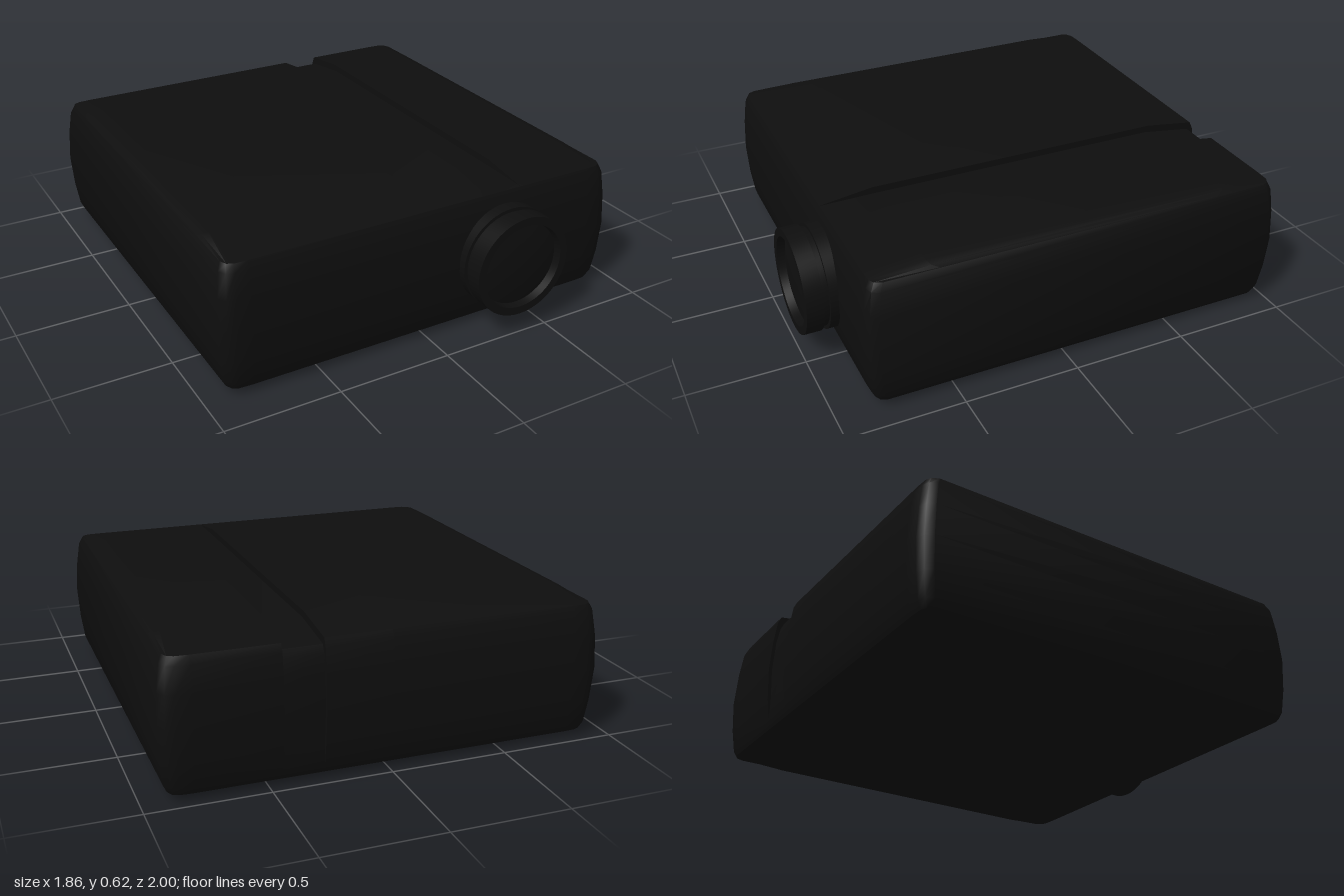
import * as THREE from 'three';
import { toCreasedNormals } from 'three/addons/utils/BufferGeometryUtils.js';

const HEIGHT = 0.62, FRONT = 0.867, BACK = -1;

// Rounded edge of the case from bottom to mid height: [inset, y], mirrored upwards
const half = [[0.267, 0], [0.037, 0.032], [0.022, 0.065], [0.008, 0.17], [0, 0.31]];
const edge = [...half, ...half.slice(0, -1).reverse().map(([i, y]) => [i, HEIGHT - y])];

// Loop of one x station: up the front, over the top, down the back
function section({ x, zInset = 0, drop = 0, bulge = 0, groove = false }) {
  const point = (inset, y, back) => {
    let z = back ? BACK + inset + zInset : FRONT - inset - zInset;
    const px = x - Math.sign(x) * Math.min(inset, 0.04) * bulge;
    let py = THREE.MathUtils.clamp(y, drop, HEIGHT - drop);
    if (groove && back && y > 0.1) z += 0.015;
    if (groove && (back ? y > 0.5 : y > 0.6)) py -= 0.03;
    return [px, py, z];
  };
  return [
    ...edge.map(([i, y]) => point(i, y, false)),
    ...[...edge].reverse().map(([i, y]) => point(i, y, true)),
  ];
}

function bodyGeometry() {
  // Side rounding, shared by both ends
  const end = [
    { x: 0.80, drop: 0.006 },
    { x: 0.865, zInset: 0.003, drop: 0.01, bulge: 0.3 },
    { x: 0.905, zInset: 0.015, drop: 0.02, bulge: 0.7 },
    { x: 0.93, zInset: 0.045, drop: 0.032, bulge: 1 },
  ];
  const stations = [
    ...[...end].reverse().map((s) => ({ ...s, x: -s.x })),
    { x: 0 },
    { x: 0.28 }, { x: 0.28, groove: true },
    { x: 0.45, groove: true }, { x: 0.45 },
    ...end,
  ];
  const loops = stations.map(section);
  const n = loops[0].length;
  const pos = [];
  const quad = (a, b, c, d) => pos.push(...a, ...b, ...c, ...a, ...c, ...d);

  // Skin between neighbouring stations
  for (let s = 0; s < loops.length - 1; s++) {
    const A = loops[s], B = loops[s + 1];
    for (let i = 0; i < n; i++) {
      const j = (i + 1) % n;
      quad(A[i], B[i], B[j], A[j]);
    }
  }
  // End walls, joining front and back points of equal height
  const L = loops[0], R = loops[loops.length - 1];
  for (let i = 0; i < n / 2 - 1; i++) {
    const k = n - 1 - i;
    quad(R[i], R[k], R[k - 1], R[i + 1]);
    quad(L[k], L[i], L[i + 1], L[k - 1]);
  }
  const geo = new THREE.BufferGeometry();
  geo.setAttribute('position', new THREE.Float32BufferAttribute(pos, 3));
  return toCreasedNormals(geo, 0.75);
}

// Turned part whose axis points forwards: profile of [radius, z]
function turned(profile) {
  const geo = new THREE.LatheGeometry(profile.map(([r, z]) => new THREE.Vector2(r, z)), 48);
  geo.rotateX(Math.PI / 2);
  return toCreasedNormals(geo, 0.6);
}

export function createModel() {
  const group = new THREE.Group();
  const black = new THREE.MeshStandardMaterial({ color: 0x0e0e0e });
  const add = (name, geometry, parent = group) => {
    const mesh = new THREE.Mesh(geometry, black);
    mesh.name = name;
    parent.add(mesh);
  };

  // Case with the cable groove over the top and down the back
  add('case', bodyGeometry());

  // Lens barrel with a ring groove, and the recessed glass
  const lens = new THREE.Group();
  lens.name = 'lens';
  lens.position.set(0.36, 0.315, 0);
  group.add(lens);
  add('lensBarrel', turned([
    [0.225, 0.82], [0.225, 0.9], [0.21, 0.9], [0.21, 0.925],
    [0.225, 0.925], [0.225, 1], [0.19, 1], [0.185, 0.965],
  ]), lens);
  add('lensGlass', turned([
    [0.187, 0.965], [0.14, 0.976], [0.07, 0.983], [0, 0.985],
  ]), lens);
  return group;
}
